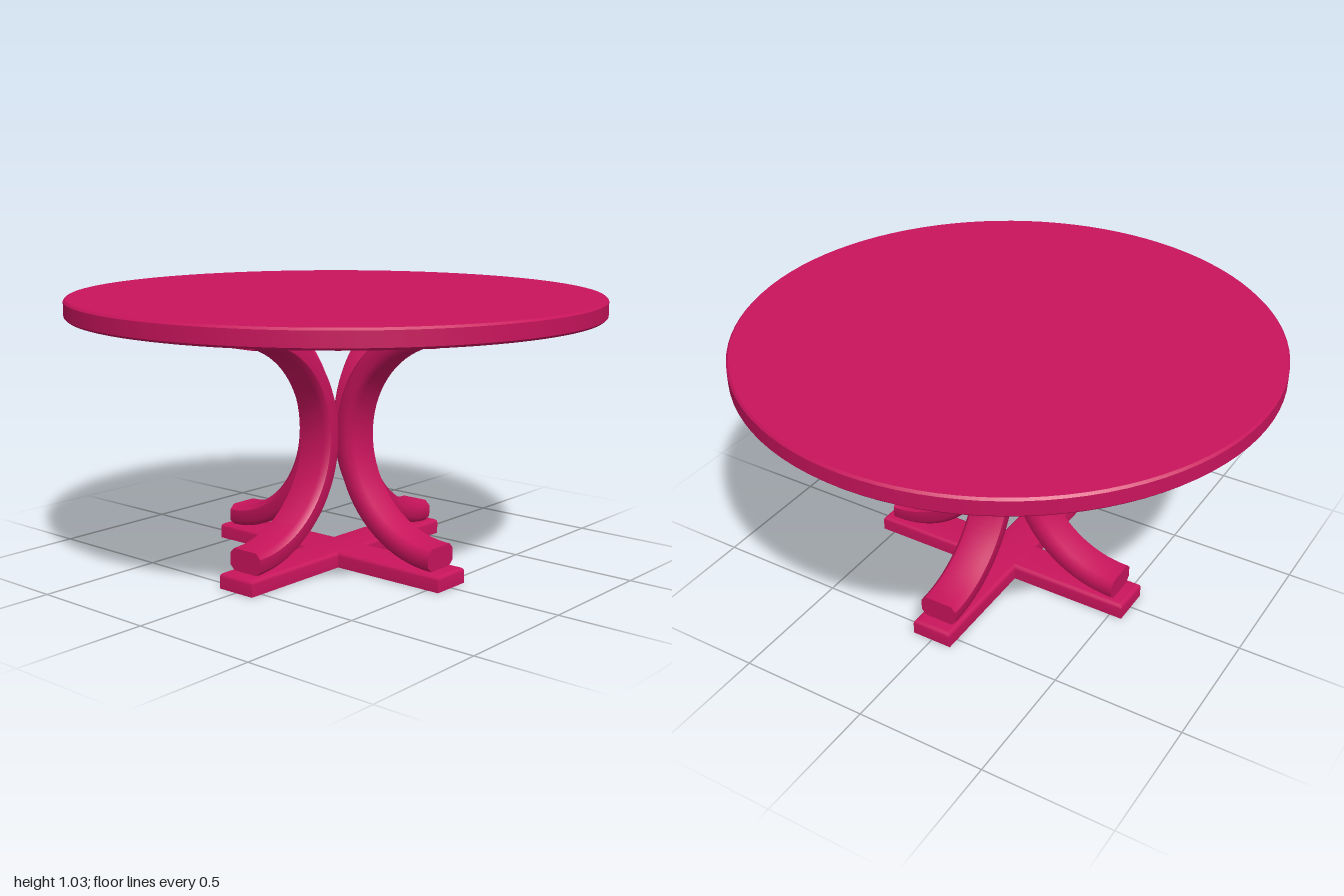
import * as THREE from 'three';
import { toCreasedNormals } from 'three/addons/utils/BufferGeometryUtils.js';

const material = new THREE.MeshStandardMaterial({ color: 0xc8145c });

function add(parent, name, geometry) {
  const mesh = new THREE.Mesh(geometry, material);
  mesh.name = name;
  parent.add(mesh);
  return mesh;
}

// Round top with slightly eased edges
function tableTopGeometry() {
  const e = 0.008, low = 0.96, high = 1.03;
  const profile = [[0, low], [1 - e, low], [1, low + e], [1, high - e], [1 - e, high], [0, high]]
    .map(([x, y]) => new THREE.Vector2(x, y));
  return toCreasedNormals(new THREE.LatheGeometry(profile, 96), 0.6);
}

// Cross-shaped foot: flat underneath, eased along the upper edge
function baseGeometry() {
  const w = 0.08, l = 0.55, e = 0.015, height = 0.06;
  const corners = [[w, w], [w, l], [-w, l], [-w, w], [-l, w], [-l, -w],
    [-w, -w], [-w, -l], [w, -l], [w, -w], [l, -w], [l, w]];
  const shape = new THREE.Shape(corners.map(([x, y]) => new THREE.Vector2(x, y)));
  const g = new THREE.ExtrudeGeometry(shape, {
    depth: height - e, bevelThickness: e, bevelSize: e, bevelOffset: -e, bevelSegments: 3,
  });
  g.rotateX(-Math.PI / 2);
  const p = g.attributes.position;
  for (let i = 0; i < p.count; i++) p.setY(i, Math.max(0, p.getY(i)));
  return toCreasedNormals(g, 0.7);
}

// Leg cross-section as [radius, sideways offset], corners chamfered
const inner = 0.364, outer = 0.448, half = 0.075, c = 0.02;
const section = [
  [inner + c, -half], [outer - c, -half], [outer, -half + c], [outer, half - c],
  [outer - c, half], [inner + c, half], [inner, half - c], [inner, -half + c],
];

function legCap(sign) {
  const shape = new THREE.Shape(section.map(([r, s]) => new THREE.Vector2(s, sign * r)));
  return new THREE.ShapeGeometry(shape).rotateY(Math.PI / 2);
}

// Half-ring leg bowed toward the centre, ends facing outward
function makeLeg(name) {
  const leg = new THREE.Group();
  leg.name = name;
  const loop = [...section, section[0]].map(([r, s]) => new THREE.Vector2(r, s));
  const arc = new THREE.LatheGeometry(loop, 40, Math.PI, Math.PI).rotateX(Math.PI / 2);
  const parts = [add(leg, 'legArc', arc), add(leg, 'upperLegEnd', legCap(1)), add(leg, 'lowerLegEnd', legCap(-1))];
  parts.forEach((part) => part.position.set(0.5, 0.51, 0));
  return leg;
}

export function createModel() {
  const table = new THREE.Group();
  table.name = 'pedestalTable';
  add(table, 'tableTop', tableTopGeometry());
  add(table, 'crossBase', baseGeometry());
  ['leftLeg', 'backLeg', 'rightLeg', 'frontLeg'].forEach((name, i) => {
    const leg = makeLeg(name);
    leg.rotation.y = i * Math.PI / 2;
    table.add(leg);
  });
  return table;
}
